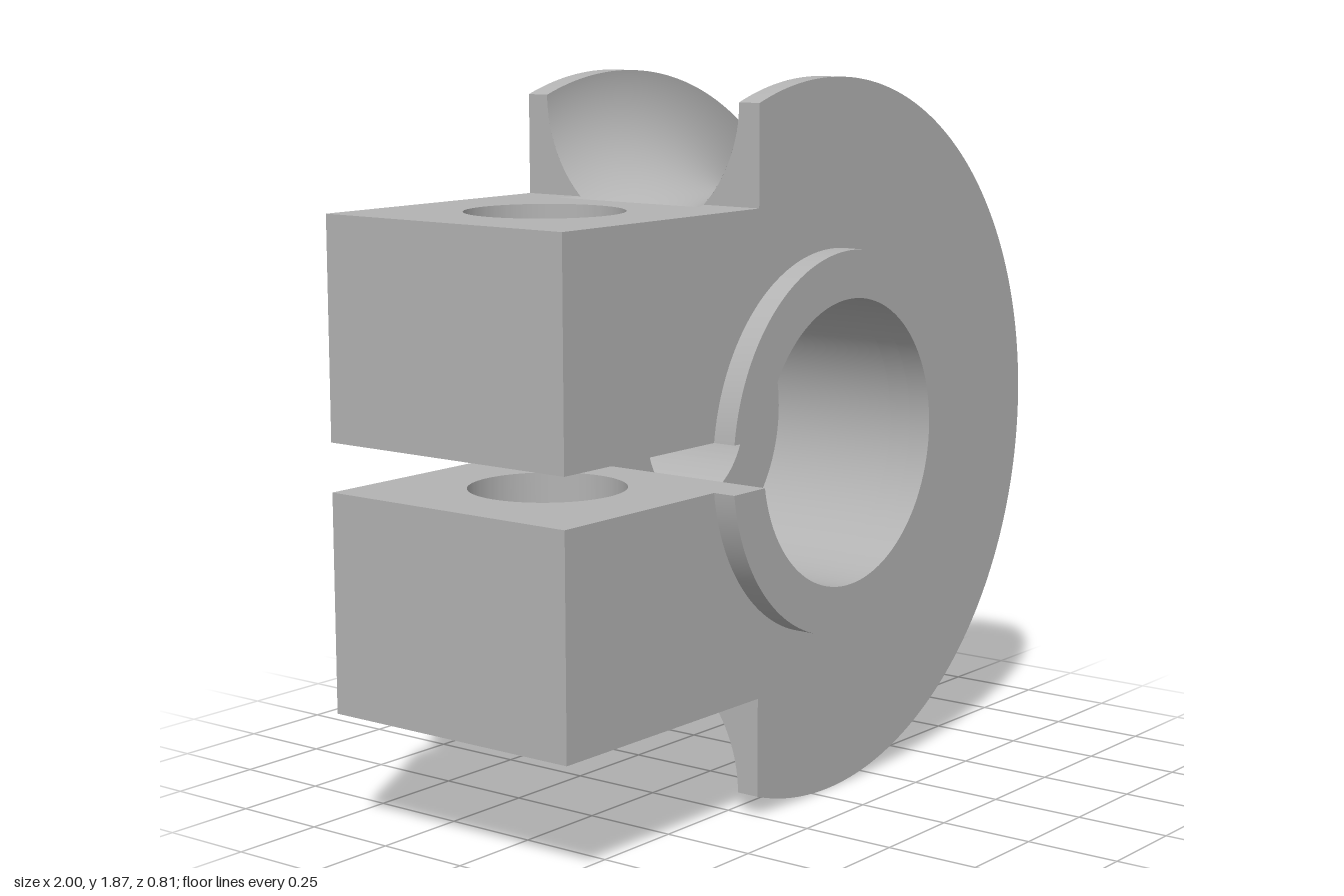
import * as THREE from 'three';
import { toCreasedNormals } from 'three/addons/utils/BufferGeometryUtils.js';
import { ParametricGeometry } from 'three/addons/geometries/ParametricGeometry.js';

// All sizes are relative to the wheel axis, which runs along z.
const R = 0.9375;          // flange radius
const C = 0.3125;          // groove radius and half width
const HALF = 0.375;        // half thickness of wheel and block
const STEP = 0.625;        // half height of the clamp block
const CUT = -0.3125;       // plane where the flanges stop
const WALL = -0.375;       // plane where the groove stops in the block
const END = -1.0625;       // far end of the block
const SLIT = 0.0625;       // half height of the clamp slit
const BORE = 0.375, HOLE = 0.2125, FLOOR = -0.0625;

const grooveRadius = (phi) => R - C * Math.sin(phi);
const phiAt = (r) => Math.asin((R - r) / C);
const PHI_CUT = phiAt(Math.hypot(CUT, STEP));
const PHI_WALL = phiAt(Math.hypot(WALL, STEP));

export function createModel() {
  const grey = new THREE.MeshStandardMaterial({ color: 0xb3b3b3, side: THREE.DoubleSide });
  grey.name = 'grey';
  const model = new THREE.Group();
  model.name = 'clampPulley';
  const body = new THREE.Group();
  body.name = 'pulleyBody';
  body.position.set(0.0625, 0.9375, -0.03125);
  model.add(body);

  const add = (name, geometry) => {
    const mesh = new THREE.Mesh(geometry, grey);
    mesh.name = name;
    body.add(mesh);
    return mesh;
  };
  const extrude = (shape, z0, z1) => {
    const g = new THREE.ExtrudeGeometry(shape, { depth: z1 - z0, bevelEnabled: false, curveSegments: 80 });
    g.translate(0, 0, z0);
    return toCreasedNormals(g, 0.4);
  };

  // Slit and bore edge shared by all slotted sections
  const slotted = (startX, inner) => {
    const a = Math.asin(SLIT / inner);
    const s = new THREE.Shape();
    s.moveTo(startX, SLIT);
    s.lineTo(-inner * Math.cos(a), SLIT);
    s.absarc(0, 0, inner, Math.PI - a, -Math.PI + a, true);
    s.lineTo(startX, -SLIT);
    return s;
  };
  // Slotted ring, open at the slit
  const ring = (outer, inner) => {
    const a = Math.asin(SLIT / outer);
    const s = slotted(-outer * Math.cos(a), inner);
    s.absarc(0, 0, outer, -Math.PI + a, Math.PI - a, false);
    return s;
  };
  // Flange disc joined to the side of the block
  const plate = (inner) => {
    const a = Math.acos(CUT / R);
    const s = slotted(END, inner);
    s.lineTo(END, -STEP);
    s.lineTo(CUT, -STEP);
    s.absarc(0, 0, R, -a, a, false);
    s.lineTo(CUT, STEP);
    s.lineTo(END, STEP);
    return s;
  };

  add('frontFlange', extrude(plate(BORE), C, HALF));
  add('backFlange', extrude(plate(HOLE), -HALF, -C));
  add('frontBoss', extrude(ring(0.5, BORE), HALF, 0.4375));
  add('boreSleeve', extrude(ring(0.45, BORE), FLOOR, C));
  add('shaftSleeve', extrude(ring(0.45, HOLE), -C, FLOOR));

  // Clamp jaws with the vertical bolt hole
  const jaw = new THREE.Shape();
  jaw.moveTo(END, -C);
  jaw.lineTo(WALL, -C);
  jaw.lineTo(WALL, C);
  jaw.lineTo(END, C);
  const bolt = new THREE.Path();
  bolt.absarc(-0.6875, 0, 0.2, 0, Math.PI * 2, true);
  jaw.holes.push(bolt);
  add('upperJaw', extrude(jaw, SLIT, STEP).rotateX(-Math.PI / 2));
  add('lowerJaw', extrude(jaw, -STEP, -SLIT).rotateX(-Math.PI / 2));

  // Round rope groove, swept around the axis up to the cut plane
  const onGroove = (phi, angle, target) => {
    const r = grooveRadius(phi);
    target.set(r * Math.cos(angle), r * Math.sin(angle), -C * Math.cos(phi));
  };
  add('ropeGroove', new ParametricGeometry((u, v, target) => {
    const phi = v * Math.PI;
    const a = Math.acos(CUT / grooveRadius(phi));
    onGroove(phi, (2 * u - 1) * a, target);
  }, 120, 48));

  for (const sy of [1, -1]) {
    const side = sy > 0 ? 'upper' : 'lower';

    // Groove run-out into the block
    const p0 = PHI_WALL + 0.001;
    add(side + 'GrooveEnd', new ParametricGeometry((u, v, target) => {
      const phi = p0 + v * (Math.PI - 2 * p0);
      const r = grooveRadius(phi);
      const a0 = Math.max(Math.acos(CUT / r), Math.PI - Math.asin(Math.min(1, STEP / r)));
      const a1 = Math.acos(WALL / r);
      const t = sy > 0 ? u : 1 - u;
      onGroove(phi, sy * (a0 + (a1 - a0) * t), target);
    }, 8, 48));

    for (const sz of [1, -1]) {
      const end = sz > 0 ? 'Front' : 'Back';

      // Flat end of the flange web
      const web = [new THREE.Vector2(sz * C, sy * STEP)];
      for (let i = 0; i <= 20; i++) {
        const phi = PHI_CUT * i / 20, r = grooveRadius(phi);
        web.push(new THREE.Vector2(sz * C * Math.cos(phi), sy * Math.sqrt(r * r - CUT * CUT)));
      }
      add(side + end + 'WebEnd', new THREE.ShapeGeometry(new THREE.Shape(web)).rotateY(-Math.PI / 2))
        .position.x = CUT;

      // Small ledge between the block and the web
      const ledge = [new THREE.Vector2(CUT, sz * C), new THREE.Vector2(WALL, sz * C)];
      for (let i = 0; i <= 6; i++) {
        const phi = PHI_WALL + (PHI_CUT - PHI_WALL) * i / 6, r = grooveRadius(phi);
        ledge.push(new THREE.Vector2(-Math.sqrt(r * r - STEP * STEP), sz * C * Math.cos(phi)));
      }
      add(side + end + 'Ledge', new THREE.ShapeGeometry(new THREE.Shape(ledge)).rotateX(-sy * Math.PI / 2))
        .position.y = sy * STEP;
    }
  }
  return model;
}
